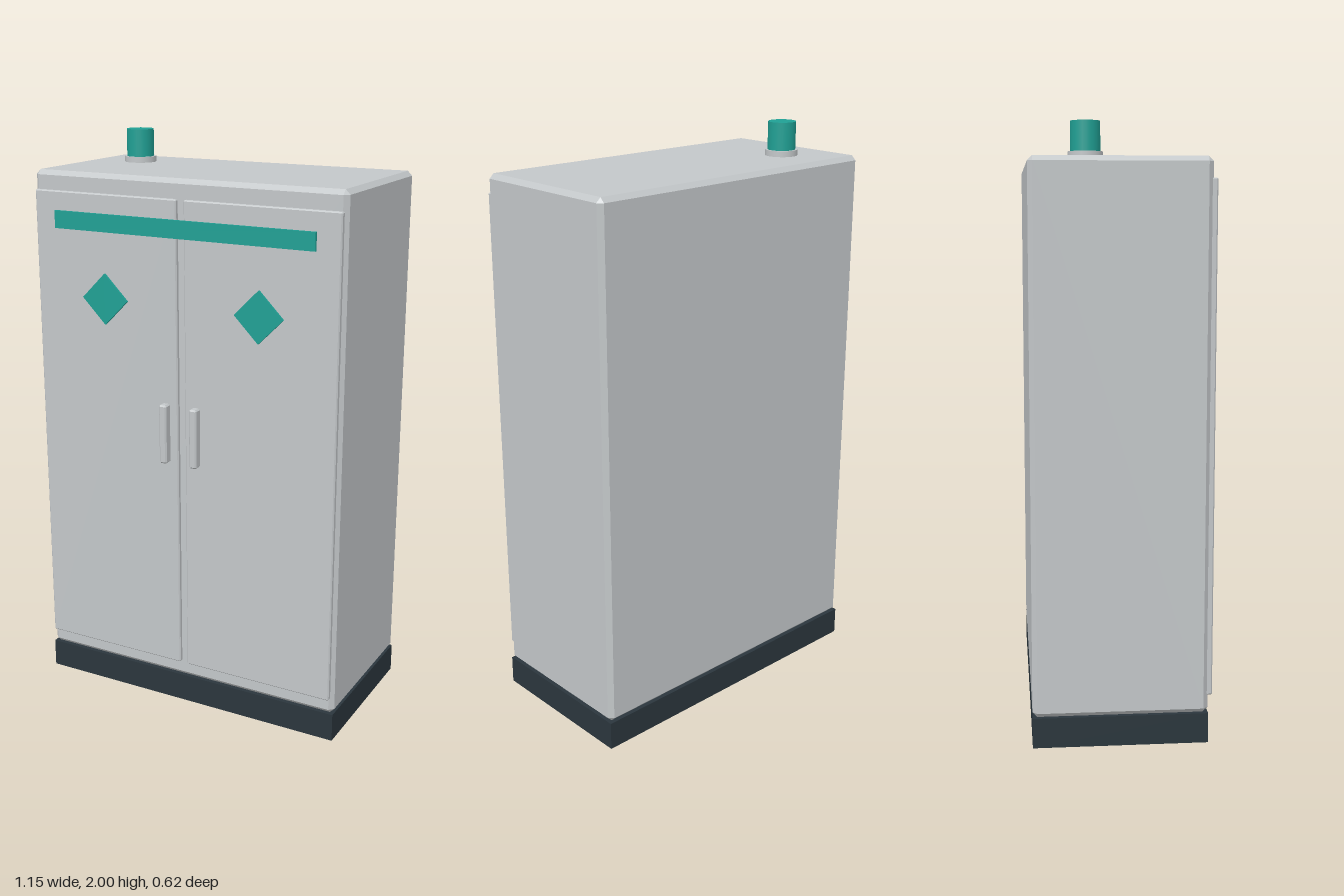
import * as THREE from 'three';
import { ConvexGeometry } from 'three/addons/geometries/ConvexGeometry.js';

const paint = (name, color) => {
  const m = new THREE.MeshStandardMaterial({ color });
  m.name = name;
  return m;
};

// Box between two corners with every edge cut off by c
function chamferBox(x0, x1, y0, y1, z0, z1, c) {
  const h = [(x1 - x0) / 2, (y1 - y0) / 2, (z1 - z0) / 2];
  const points = [];
  for (const sx of [-1, 1]) for (const sy of [-1, 1]) for (const sz of [-1, 1]) {
    for (let axis = 0; axis < 3; axis++) {
      const [x, y, z] = h.map((v, i) => (i === axis ? v : v - c));
      points.push(new THREE.Vector3(sx * x, sy * y, sz * z));
    }
  }
  return new ConvexGeometry(points).translate((x0 + x1) / 2, (y0 + y1) / 2, (z0 + z1) / 2);
}

export function createModel() {
  const grey = paint('light grey enamel', 0xc3c7c9);
  const dark = paint('dark plinth', 0x2b363d);
  const teal = paint('teal', 0x20a094);

  const model = new THREE.Group();
  model.name = 'cabinet';
  const add = (name, geometry, material, x = 0, y = 0, z = 0) => {
    const mesh = new THREE.Mesh(geometry, material);
    mesh.name = name;
    mesh.position.set(x, y, z);
    model.add(mesh);
    return mesh;
  };

  // Plinth and cabinet body
  add('plinth', new THREE.BoxGeometry(1.154, 0.1, 0.572), dark, 0, 0.05, -0.022);
  add('body', chamferBox(-0.577, 0.577, 0.1, 1.885, -0.308, 0.264, 0.016), grey);

  // Mirrored doors, handles and diamond signs
  for (const [side, s] of [['left', 1], ['right', -1]]) {
    const span = (a, b) => (s > 0 ? [a, b] : [-b, -a]);
    add(side + 'Door', chamferBox(...span(0.014, 0.566), 0.158, 1.82, 0.258, 0.278, 0.004), grey);
    add(side + 'Handle', chamferBox(...span(0.044, 0.072), 0.922, 1.13, 0.274, 0.308, 0.005), grey);
    const sign = add(side + 'Sign', new THREE.BoxGeometry(0.124, 0.124, 0.009), teal, s * 0.29, 1.467, 0.2825);
    sign.rotation.z = Math.PI / 4;
  }

  // Band across both doors
  add('band', new THREE.BoxGeometry(0.966, 0.06, 0.009), teal, 0, 1.725, 0.2825);

  // Signal lamp on the roof
  add('lampCollar', new THREE.CylinderGeometry(0.056, 0.056, 0.022, 24), grey, -0.387, 1.894, -0.12);
  add('lamp', new THREE.CylinderGeometry(0.048, 0.048, 0.1, 24), teal, -0.387, 1.95, -0.12);

  return model;
}
